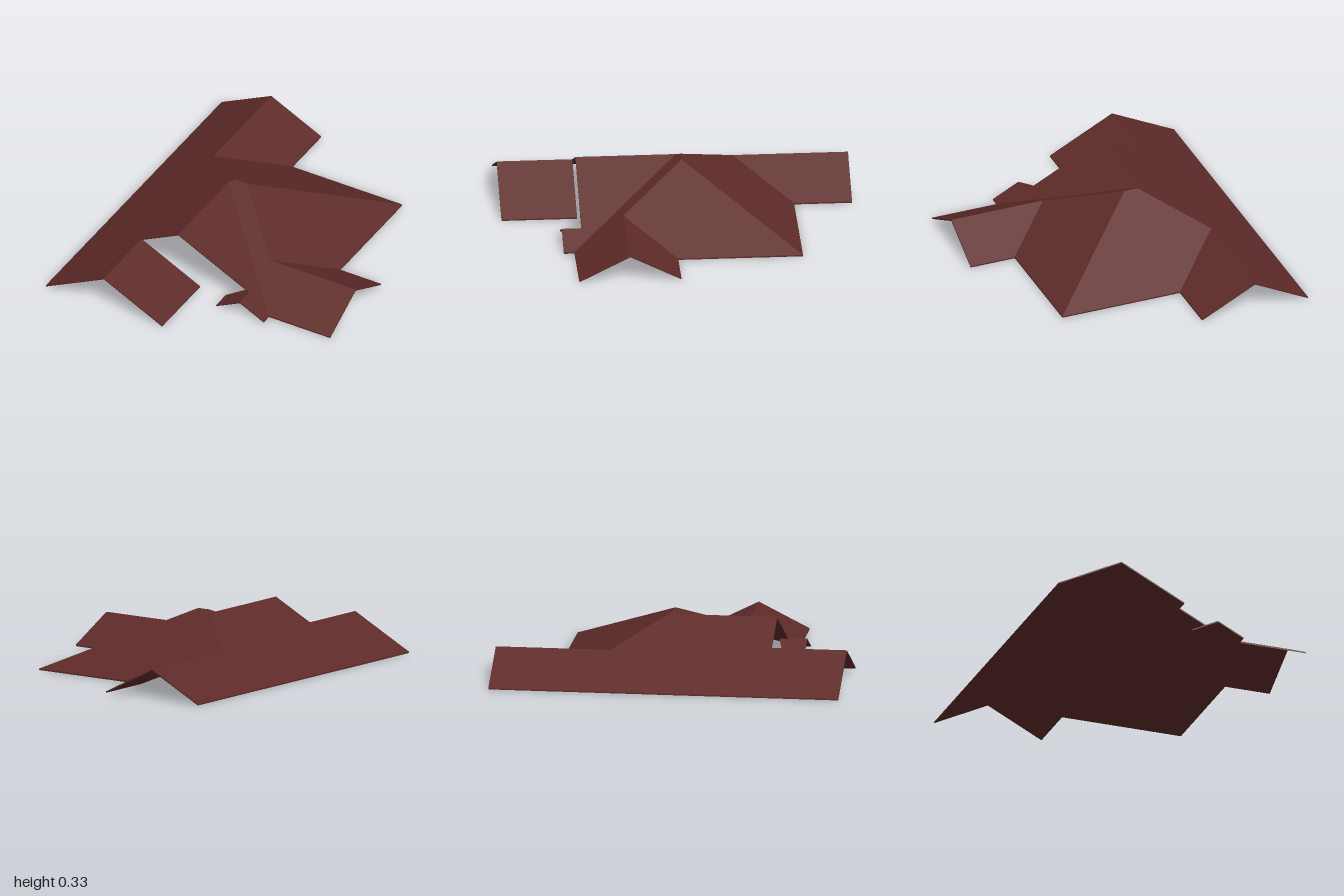
import * as THREE from 'three';

const PITCH = 0.505;
const THICKNESS = 0.008;

// One pitched slab: plan outline [x, z] extruded up, then sheared to the height rule.
function slope(name, material, outline, distanceFromEave) {
  const shape = new THREE.Shape(outline.map(([x, z]) => new THREE.Vector2(x, -z)));
  const geometry = new THREE.ExtrudeGeometry(shape, { depth: THICKNESS, bevelEnabled: false });
  geometry.rotateX(-Math.PI / 2);
  const p = geometry.attributes.position;
  for (let i = 0; i < p.count; i++) {
    p.setY(i, p.getY(i) + PITCH * distanceFromEave(p.getX(i), p.getZ(i)));
  }
  geometry.computeVertexNormals();
  const mesh = new THREE.Mesh(geometry, material);
  mesh.name = name;
  return mesh;
}

export function createModel() {
  const roof = new THREE.Group();
  roof.name = 'roof';
  const tiles = new THREE.MeshStandardMaterial({ color: 0x5e2b29, side: THREE.DoubleSide });
  const add = (name, outline, rule) => roof.add(slope(name, tiles, outline, rule));

  // Long west slope shared by the main roof and both end wings
  add('westSlope', [
    [-0.82, -1], [-0.495, -1], [-0.495, -0.345], [-0.175, -0.025], [-0.2, 0],
    [-0.2, 0.57], [-0.44, 0.57], [-0.44, 1], [-0.82, 1],
  ], (x) => x + 0.82);

  // Back wing, falling east into a valley
  add('backWingSlope', [[-0.495, -1], [-0.17, -1], [-0.17, -0.67], [-0.495, -0.345]], (x) => -0.17 - x);

  // Main hipped roof
  add('northSlope', [[-0.17, -0.67], [0.55, -0.67], [-0.095, -0.025], [-0.175, -0.025], [-0.495, -0.345]],
    (x, z) => z + 0.67);
  add('eastHip', [[0.55, -0.67], [0.55, 0.04], [0.26, 0.33], [-0.095, -0.025]], (x) => 0.55 - x);
  add('southSlope', [
    [-0.175, -0.025], [-0.095, -0.025], [0.26, 0.33], [0.82, 0.33], [0.82, 0.62], [0.42, 0.62], [-0.2, 0],
  ], (x, z) => 0.62 - z);

  // East wing, back side of its ridge
  add('eastWingSlope', [[0.55, 0.04], [0.82, 0.04], [0.82, 0.33], [0.26, 0.33]], (x, z) => z - 0.04);

  // Front gable, with a lower porch gable on its east side
  add('frontGableSlope', [[-0.2, 0], [0.42, 0.62], [0.42, 0.68], [0.265, 0.68], [0.265, 0.57], [-0.2, 0.57]],
    (x) => 0.42 - x);
  add('porchSlope', [[0.11, 0.57], [0.265, 0.52], [0.265, 0.68], [0.11, 0.68]], (x) => x - 0.11);

  // Low front wing, falling east
  add('frontWingSlope', [[-0.44, 0.57], [-0.06, 0.57], [-0.06, 1], [-0.44, 1]], (x) => -0.06 - x);

  return roof;
}
